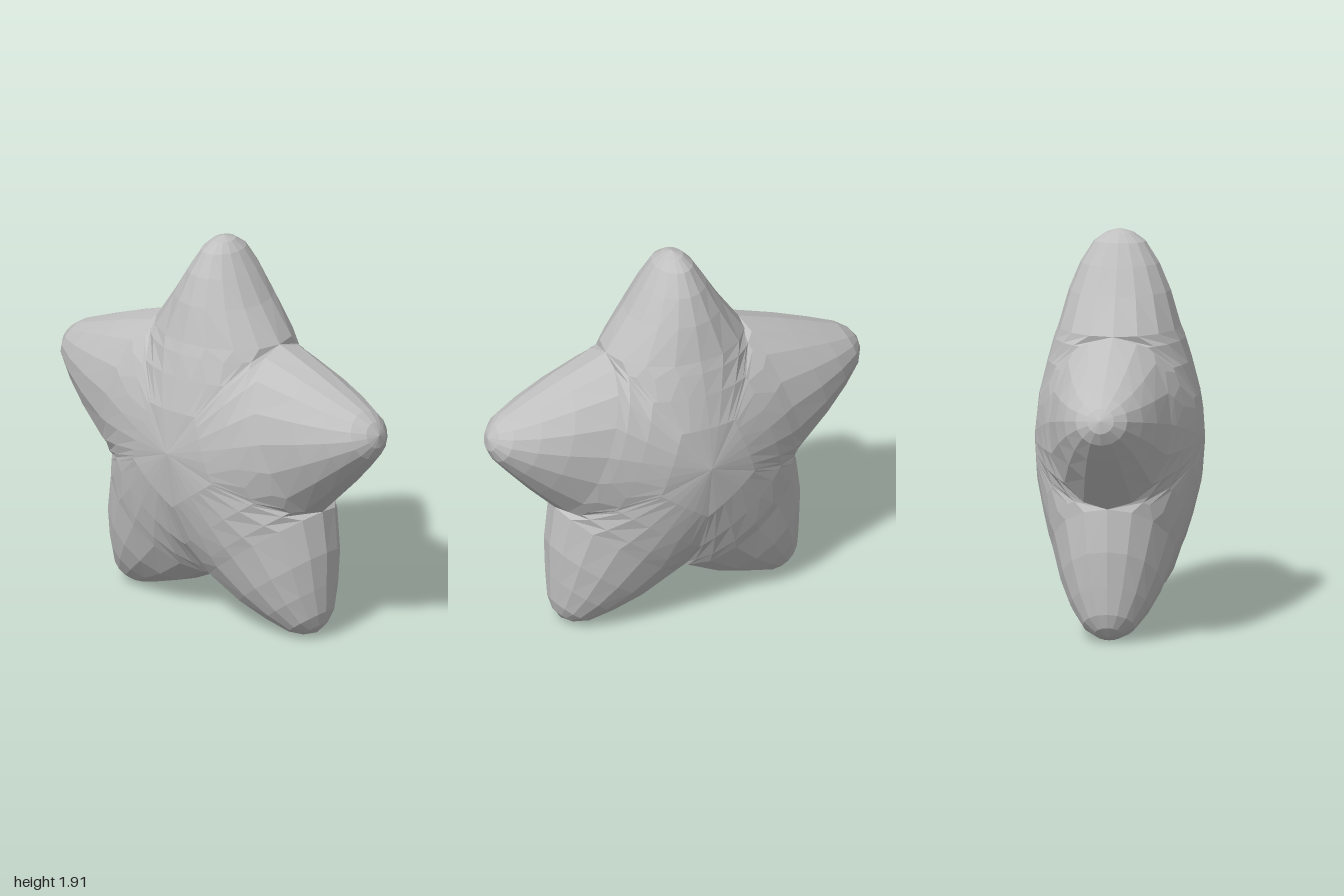
import * as THREE from 'three';

const CENTER = new THREE.Vector2(0, 0.9);

// Notches between arms and arm tips, counter-clockwise from the lower right
const notches = [[0, 0.18], [0.635, 0.65], [0.36, 1.44], [-0.36, 1.44], [-0.635, 0.65]];
const arms = [
  { name: 'leftLowerArm', tip: [0.6, 0.02], blunt: 1.15 },
  { name: 'leftSideArm', tip: [1.0, 1.14], blunt: 1.08 },
  { name: 'topArm', tip: [0, 1.91], blunt: 1.0 },
  { name: 'rightSideArm', tip: [-1.0, 1.14], blunt: 1.08 },
  { name: 'rightLowerArm', tip: [-0.6, 0.02], blunt: 1.15 },
];

// Body rows, centre to notch: [fraction, ridge depth, crease depth]
const bodyRows = [[0, 0.41, 0.41], [0.4, 0.385, 0.37], [0.7, 0.345, 0.28], [0.9, 0.315, 0.165], [1, 0.295, 0]];
// Arm rows, notch to tip: [fraction, ridge depth, width fraction]
const armRows = [[0.37, 0.245, 0.66], [0.65, 0.19, 0.44], [0.87, 0.125, 0.26], [0.96, 0.065, 0.14], [1, 0, 0]];
// Positions across an arm, from one edge to the other
const across = [-1, -0.92, -0.7, -0.36, 0, 0.36, 0.7, 0.92, 1];

// One cross-section: an elliptic arch between two edge points
function section(mid, half, ridge, crease) {
  return across.map((t) => new THREE.Vector3(
    mid.x + half.x * t,
    mid.y + half.y * t,
    Math.sqrt(Math.max(0, ridge ** 2 - (ridge ** 2 - crease ** 2) * t * t)),
  ));
}

function armGeometry(arm, from, to) {
  const a = new THREE.Vector2(...from);
  const b = new THREE.Vector2(...to);
  const tip = new THREE.Vector2(...arm.tip);
  const base = a.clone().add(b).multiplyScalar(0.5);
  const half = b.clone().sub(a).multiplyScalar(0.5);
  const rows = [
    ...bodyRows.map(([s, ridge, crease]) =>
      section(CENTER.clone().lerp(base, s), half.clone().multiplyScalar(s), ridge, crease)),
    ...armRows.map(([u, ridge, w]) =>
      section(base.clone().lerp(tip, u), half.clone().multiplyScalar(w * arm.blunt), ridge, 0)),
  ];

  // Facets on the front, mirrored to the back
  const positions = [];
  const addFacet = (p, q, r) => {
    for (const v of [p, q, r]) positions.push(v.x, v.y, v.z);
    for (const v of [p, r, q]) positions.push(v.x, v.y, -v.z);
  };
  for (let i = 0; i < rows.length - 1; i++) {
    for (let j = 0; j < across.length - 1; j++) {
      const p = rows[i][j], q = rows[i + 1][j], r = rows[i + 1][j + 1], s = rows[i][j + 1];
      if (i < rows.length - 2) addFacet(p, q, r);
      if (i > 0) addFacet(p, r, s);
    }
  }
  const geometry = new THREE.BufferGeometry();
  geometry.setAttribute('position', new THREE.Float32BufferAttribute(positions, 3));
  geometry.computeVertexNormals(); // unshared corners keep the facets flat
  return geometry;
}

export function createModel() {
  const group = new THREE.Group();
  group.name = 'star';
  const grey = new THREE.MeshStandardMaterial({ color: 0xc0c0c0 });
  grey.name = 'light grey';

  // Five arms, each carrying its wedge of the body
  arms.forEach((arm, i) => {
    const mesh = new THREE.Mesh(armGeometry(arm, notches[i], notches[(i + 1) % 5]), grey);
    mesh.name = arm.name;
    group.add(mesh);
  });
  return group;
}
